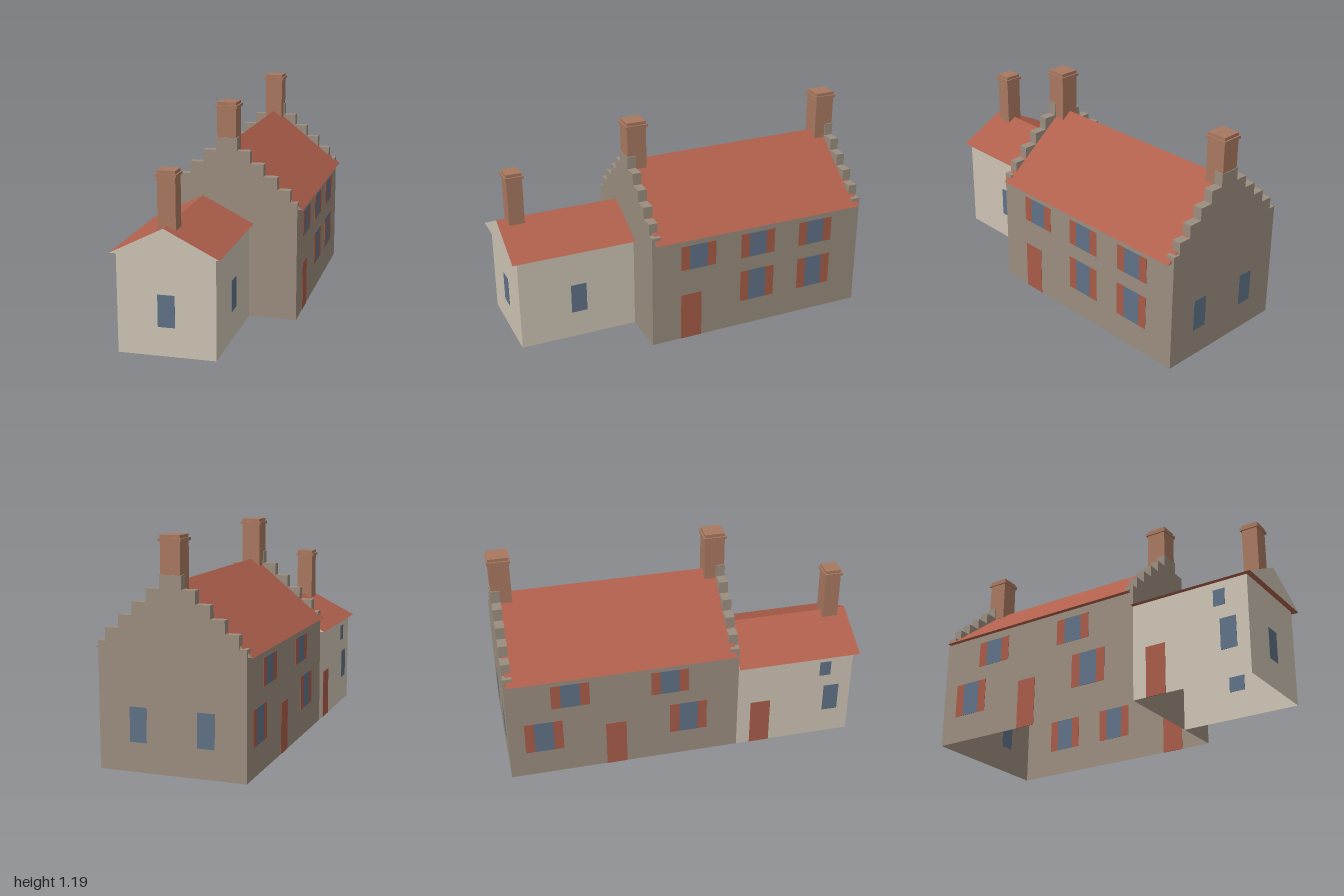
import * as THREE from 'three';

const mat = (name, color, side = THREE.FrontSide) => {
  const m = new THREE.MeshStandardMaterial({ color, side });
  m.name = name;
  return m;
};

export function createModel() {
  const house = new THREE.Group();
  house.name = 'house';

  const stone = mat('brown stone', 0x9a8d7e, THREE.DoubleSide);
  const paleStone = mat('pale stone', 0xcdc3b3, THREE.DoubleSide);
  const tile = mat('red roof tile', 0xb0604c);
  const paint = mat('red paint', 0xa85c48);
  const glass = mat('blue glass', 0x607186);
  const brick = mat('chimney brick', 0xa87860);

  const add = (name, geometry, material, parent = house) => {
    const mesh = new THREE.Mesh(geometry, material);
    mesh.name = name;
    parent.add(mesh);
    return mesh;
  };

  // Box given by its limits on each axis
  const block = (name, [x0, x1], [y0, y1], [z0, z1], material, parent) => {
    const g = new THREE.BoxGeometry(x1 - x0, y1 - y0, z1 - z0);
    g.translate((x0 + x1) / 2, (y0 + y1) / 2, (z0 + z1) / 2);
    return add(name, g, material, parent);
  };

  // Walls: a box keeping only the listed faces (0 +x, 1 -x, 4 +z, 5 -z)
  const walls = (name, xs, ys, zs, material, faces) => {
    const g = block(name, xs, ys, zs, material).geometry;
    const index = Array.from(g.index.array);
    g.setIndex(faces.flatMap((f) => index.slice(f * 6, f * 6 + 6)));
    g.clearGroups();
  };

  // Outline in x and y, extruded from z0 to z1
  const prism = (name, points, z0, z1, material) => {
    const shape = new THREE.Shape(points.map(([x, y]) => new THREE.Vector2(x, y)));
    const g = new THREE.ExtrudeGeometry(shape, { depth: z1 - z0, bevelEnabled: false });
    g.translate(0, 0, z0);
    add(name, g, material);
  };

  // Main house and lower wing, open underneath
  walls('mainWalls', [-0.392, 0.392], [0, 0.62], [-0.99, 0.30], stone, [0, 1, 4, 5]);
  walls('wingWalls', [-0.392, 0.125], [0, 0.532], [0.30, 0.97], paleStone, [0, 1, 4]);

  // Roofs with stone ends
  prism('mainRoof', [[-0.418, 0.62], [0.418, 0.62], [0, 0.96]], -0.975, 0.28, [stone, tile]);
  prism('wingRoof', [[-0.418, 0.532], [0.151, 0.532], [-0.1335, 0.675]], 0.30, 1.0, [paleStone, tile]);

  // Crow-stepped gables
  const steps = [[0.392, 0.66], [0.352, 0.727], [0.28, 0.795], [0.205, 0.863], [0.13, 0.931], [0.058, 1.0]];
  const right = [[0.392, 0.62]];
  steps.forEach(([x, y], i) => {
    if (i > 0) right.push([x, steps[i - 1][1]]);
    right.push([x, y]);
  });
  const outline = [...right, ...right.map(([x, y]) => [-x, y]).reverse()];
  prism('frontGable', outline, 0.25, 0.30, stone);
  prism('backGable', outline, -0.99, -0.94, stone);

  // Chimneys, each a shaft with a thin projecting band
  const chimney = (name, x, z, w, d, y0, y1) => {
    const g = new THREE.Group();
    g.name = name;
    house.add(g);
    block('shaft', [x - w / 2, x + w / 2], [y0, y1], [z - d / 2, z + d / 2], brick, g);
    const o = 0.008;
    block('band', [x - w / 2 - o, x + w / 2 + o], [y1 - 0.032, y1 - 0.017],
      [z - d / 2 - o, z + d / 2 + o], brick, g);
  };
  chimney('frontChimney', 0, 0.242, 0.104, 0.11, 0.92, 1.192);
  chimney('backChimney', 0, -0.932, 0.104, 0.11, 0.92, 1.192);
  chimney('wingChimney', -0.133, 0.897, 0.094, 0.088, 0.65, 0.95);

  // Thin plates on the side walls (facing x) and end walls (facing z)
  const T = 0.002;
  const sidePlate = (name, wallX, z, w, y0, y1, material) =>
    block(name, [wallX - T, wallX + T], [y0, y1], [z - w / 2, z + w / 2], material);
  const endPlate = (name, wallZ, x, w, y0, y1) =>
    block(name, [x - w / 2, x + w / 2], [y0, y1], [wallZ - T, wallZ + T], glass);
  const shuttered = (wallX, z, y0, y1) => {
    sidePlate('windowPane', wallX, z, 0.106, y0, y1, glass);
    for (const s of [-1, 1]) sidePlate('shutter', wallX, z + s * 0.079, 0.052, y0, y1, paint);
  };
  const LOW = [0.155, 0.345], HIGH = [0.43, 0.576], PLAIN = [0.155, 0.325];

  // Left wall
  for (const z of [0.025, -0.34, -0.705]) shuttered(0.392, z, ...HIGH);
  for (const z of [-0.34, -0.705]) shuttered(0.392, z, ...LOW);
  sidePlate('leftDoor', 0.392, 0.068, 0.124, 0, 0.277, paint);
  sidePlate('wingLeftWindow', 0.125, 0.63, 0.09, ...PLAIN, glass);

  // Right wall
  for (const z of [-0.64, -0.09]) shuttered(-0.392, z, ...HIGH);
  for (const z of [-0.795, 0.015]) shuttered(-0.392, z, ...LOW);
  sidePlate('rightDoor', -0.392, -0.395, 0.115, 0, 0.277, paint);
  sidePlate('wingDoor', -0.392, 0.435, 0.115, 0, 0.277, paint);
  sidePlate('wingRightWindow', -0.392, 0.855, 0.09, ...PLAIN, glass);
  sidePlate('wingUpperWindow', -0.392, 0.81, 0.065, 0.40, 0.49, glass);

  // End walls
  endPlate('wingFrontWindow', 0.97, -0.134, 0.09, ...PLAIN);
  for (const x of [-0.18, 0.18]) endPlate('backWindow', -0.99, x, 0.09, 0.155, 0.335);

  return house;
}
